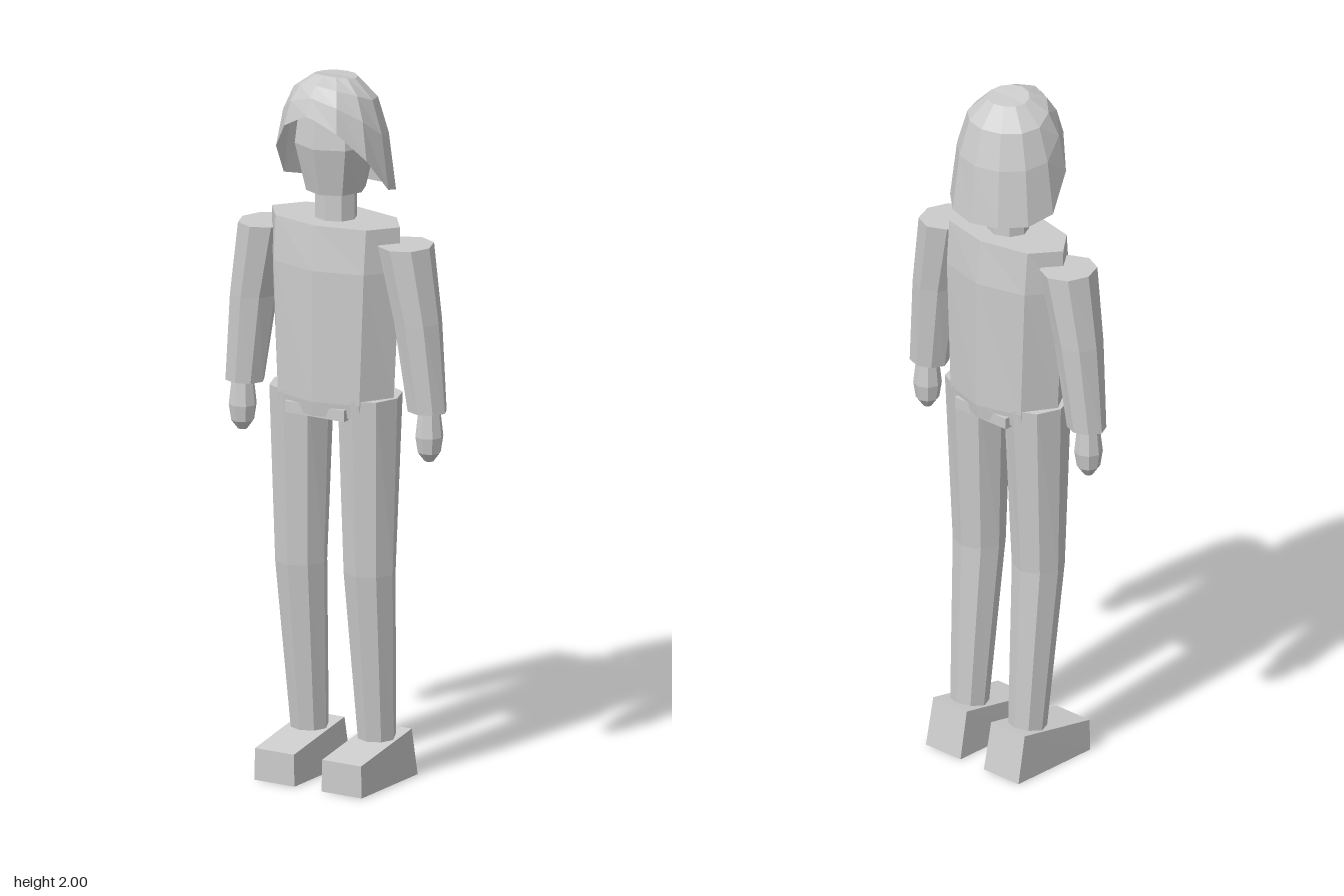
import * as THREE from 'three';

// Faceted skin over rings of points listed from top to bottom
function skin(rings, capBottom = true) {
  const n = rings[0].length, pos = [];
  const tri = (...pts) => pts.forEach((p) => pos.push(...p));
  const middle = (ring) => [0, 1, 2].map((k) => ring.reduce((s, p) => s + p[k], 0) / n);
  const top = rings[0], bottom = rings[rings.length - 1];
  const topMid = middle(top), bottomMid = middle(bottom);
  for (let j = 0; j < n; j++) {
    const k = (j + 1) % n;
    for (let i = 0; i < rings.length - 1; i++) {
      const a = rings[i][j], b = rings[i][k], c = rings[i + 1][j], d = rings[i + 1][k];
      tri(a, c, d);
      tri(a, d, b);
    }
    tri(topMid, top[j], top[k]);
    if (capBottom) tri(bottomMid, bottom[k], bottom[j]);
  }
  const geo = new THREE.BufferGeometry();
  geo.setAttribute('position', new THREE.Float32BufferAttribute(pos, 3));
  geo.computeVertexNormals();
  return geo;
}

// Elliptical rings given as [y, cx, cz, rx, rz]
function limb(sections, sides = 8) {
  return skin(sections.map(([y, cx, cz, rx, rz]) =>
    Array.from({ length: sides }, (_, j) => {
      const a = (j / sides) * Math.PI * 2;
      return [cx + rx * Math.sin(a), y, cz + rz * Math.cos(a)];
    })));
}

// Bobbed hair: a dome whose rim drops from the fringe to the nape
function hairGeometry() {
  const rim = [1.905, 1.86, 1.78, 1.685, 1.665, 1.66, 1.655];
  const steps = [[0.37, 0.05], [0.7, 0.22], [0.88, 0.52], [1, 1]];
  return skin(steps.map(([r, drop]) =>
    Array.from({ length: 12 }, (_, j) => {
      const a = (j / 12) * Math.PI * 2;
      const low = rim[Math.min(j, 12 - j)];
      return [0.168 * r * Math.sin(a), 2 - drop * (2 - low), 0.15 * r * Math.cos(a)];
    })), false);
}

// Wedge shoe, higher at the heel
function shoeGeometry(x) {
  const rect = (hw, yf, yb, zf, zb) => [
    [x - hw, yf, zf], [x + hw, yf, zf], [x + hw, yb, zb], [x - hw, yb, zb]];
  return skin([
    rect(0.0625, 0.09, 0.135, 0.142, -0.115),
    rect(0.0645, 0, 0, 0.142, -0.142),
  ]);
}

export function createModel() {
  const model = new THREE.Group();
  model.name = 'figure';
  const grey = new THREE.MeshStandardMaterial({ color: 0xcccccc, side: THREE.DoubleSide });
  grey.name = 'light grey';
  const add = (name, geo) => {
    const mesh = new THREE.Mesh(geo, grey);
    mesh.name = name;
    model.add(mesh);
    return mesh;
  };

  // Head and hair
  add('hair', hairGeometry());
  add('head', limb([
    [1.94, 0, 0, 0.07, 0.07],
    [1.88, 0, 0, 0.105, 0.105],
    [1.8, 0, 0, 0.115, 0.115],
    [1.665, 0, 0, 0.082, 0.085],
  ]));
  add('neck', limb([[1.7, 0, 0, 0.06, 0.055], [1.57, 0, 0, 0.06, 0.055]]));

  // Body
  add('torso', limb([
    [1.585, 0, 0, 0.206, 0.11],
    [1.46, 0, 0, 0.205, 0.125],
    [1.09, 0, 0, 0.185, 0.125],
    [1.05, 0, 0, 0.18, 0.12],
  ]));
  add('pelvis', new THREE.BoxGeometry(0.19, 0.032, 0.22)).position.y = 1.06;

  // Limbs, mirrored left and right
  for (const [side, s] of [['left', 1], ['right', -1]]) {
    add(side + 'Arm', limb([
      [1.54, s * 0.225, 0, 0.075, 0.083],
      [1.33, s * 0.264, 0, 0.066, 0.068],
      [1.08, s * 0.293, 0, 0.057, 0.05],
    ]));
    add(side + 'Hand', limb([
      [1.09, s * 0.3, 0, 0.03, 0.03],
      [1.01, s * 0.3, 0, 0.039, 0.039],
      [0.965, s * 0.3, 0, 0.032, 0.032],
      [0.94, s * 0.3, 0, 0.013, 0.013],
    ]));
    add(side + 'Leg', limb([
      [1.1, s * 0.11, 0, 0.087, 0.096],
      [0.6, s * 0.11, 0.003, 0.074, 0.07],
      [0.12, s * 0.108, -0.037, 0.053, 0.053],
    ]));
    add(side + 'Shoe', shoeGeometry(s * 0.108));
  }
  return model;
}
